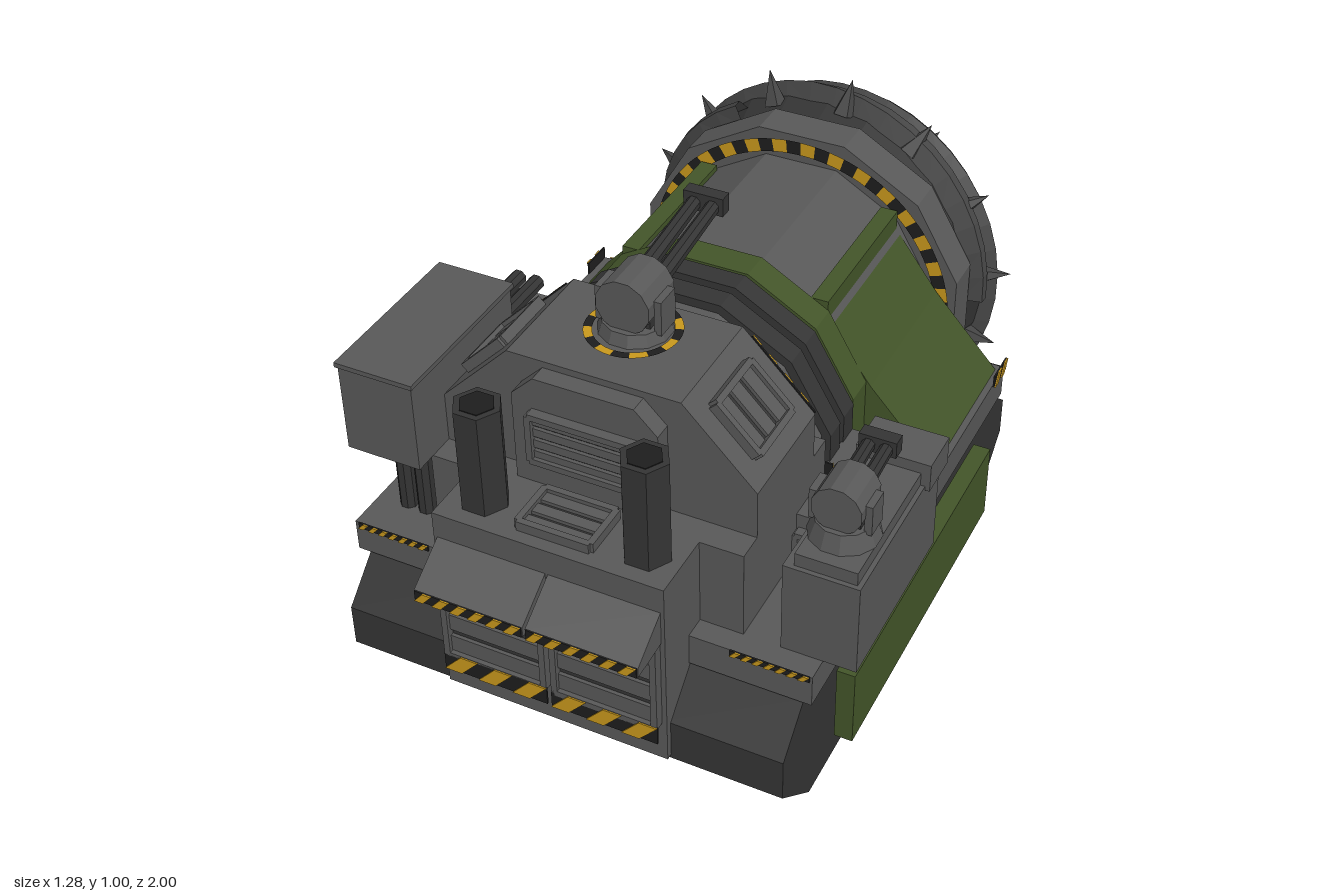
import * as THREE from 'three';

const CX = 0.04, CY = 0.475; // centre line of hull and drill
const mat = (name, color, side = THREE.FrontSide) => {
  const m = new THREE.MeshStandardMaterial({ color, side });
  m.name = name;
  return m;
};

export function createModel() {
  const root = new THREE.Group();
  root.name = 'drillVehicle';
  const grey = mat('hull grey', 0x585858), dark = mat('dark grey', 0x343434), black = mat('black', 0x1e1e1e);
  const green = mat('olive green', 0x435529), gold = mat('warning yellow', 0xc8981c);
  const steel = mat('drill steel', 0x454545, THREE.DoubleSide);

  const add = (name, geo, m, parent = root) => {
    const flat = geo.index ? geo.toNonIndexed() : geo;
    flat.computeVertexNormals();
    const mesh = new THREE.Mesh(flat, m);
    mesh.name = name;
    parent.add(mesh);
    return mesh;
  };
  // box from its limits
  const box = (name, m, x0, x1, y0, y1, z0, z1, parent) => {
    const g = new THREE.BoxGeometry(x1 - x0, y1 - y0, z1 - z0);
    g.translate((x0 + x1) / 2, (y0 + y1) / 2, (z0 + z1) / 2);
    return add(name, g, m, parent);
  };
  // cylinder or cone between two points
  const rod = (name, m, a, b, r0, r1, n, parent) => {
    const p = new THREE.Vector3(...a), q = new THREE.Vector3(...b), d = q.clone().sub(p);
    const g = new THREE.CylinderGeometry(r1, r0, d.length(), n);
    g.rotateY(Math.PI / n);
    g.applyQuaternion(new THREE.Quaternion().setFromUnitVectors(new THREE.Vector3(0, 1, 0), d.normalize()));
    g.translate(...p.add(q).multiplyScalar(0.5).toArray());
    return add(name, g, m, parent);
  };
  const polygon = pts => new THREE.Shape(pts.map(p => new THREE.Vector2(...p)));
  // outline in x,y pushed along z
  const prismZ = (name, m, pts, z0, z1, parent) => add(name,
    new THREE.ExtrudeGeometry(polygon(pts), { depth: z1 - z0, bevelEnabled: false }).translate(0, 0, z0), m, parent);
  // outline in z,y pushed along x
  const prismX = (name, m, pts, x0, x1, parent) => add(name,
    new THREE.ExtrudeGeometry(polygon(pts), { depth: x1 - x0, bevelEnabled: false })
      .rotateY(-Math.PI / 2).translate(x1, 0, 0), m, parent);
  const ring = (name, m, r, z0, z1, n = 12) => rod(name, m, [CX, CY, z1], [CX, CY, z0], r, r, n);
  const place = (name, x, y, z, parent = root) => {
    const g = new THREE.Group();
    g.name = name;
    g.position.set(x, y, z);
    parent.add(g);
    return g;
  };
  // striped warning plate facing +z
  const hazard = (x, y, z, w, h, parent) => {
    const g = place('warningStripe', x, y, z, parent);
    box('stripeBase', black, -w / 2, w / 2, -h / 2, h / 2, 0, 0.004, g);
    const n = Math.max(2, Math.round(w / (h * 1.7))), s = w / n;
    for (let i = 0; i < n; i++) {
      const a = -w / 2 + i * s;
      prismZ('stripe', gold, [[a, -h / 2], [a + s * 0.5, -h / 2], [a + s, h / 2], [a + s * 0.5, h / 2]], 0.004, 0.007, g);
    }
    return g;
  };
  // framed slatted panel facing +z
  const louvre = (name, x, y, z, w, h, n, parent) => {
    const g = place(name, x, y, z, parent), f = 0.014;
    box('panelBack', dark, -w / 2, w / 2, -h / 2, h / 2, 0, 0.005, g);
    for (const s of [-1, 1]) {
      box('frameSide', grey, s * w / 2 - f / 2, s * w / 2 + f / 2, -h / 2, h / 2, 0, 0.022, g);
      box('frameEdge', grey, -w / 2, w / 2, s * h / 2 - f / 2, s * h / 2 + f / 2, 0, 0.022, g);
    }
    const p = h / n;
    for (let i = 0; i < n; i++) box('slat', grey, -w / 2, w / 2, -h / 2 + (i + 0.15) * p, -h / 2 + (i + 0.85) * p, 0, 0.013, g);
    return g;
  };

  // tracks and side armour
  const track = [[0.75, 0], [0.885, 0.12], [0.885, 0.22], [0.79, 0.31], [-0.27, 0.31], [-0.38, 0.22], [-0.38, 0.125], [-0.235, 0]];
  for (const s of [-1, 1]) {
    prismX('track', dark, track, CX + s * 0.37 - 0.13, CX + s * 0.37 + 0.13);
    box('sideArmour', green, CX + s * 0.54 - 0.02, CX + s * 0.54 + 0.02, 0.105, 0.29, -0.11, 0.675);
    box('armourMount', dark, CX + s * 0.51 - 0.02, CX + s * 0.51 + 0.02, 0.17, 0.25, 0.1, 0.45);
  }

  // lower hull and deck
  box('belly', dark, -0.21, 0.29, 0.09, 0.32, -0.3, 0.78);
  box('deck', grey, -0.485, 0.56, 0.31, 0.385, -0.29, 0.8);
  box('frontBlock', grey, -0.215, 0.295, 0.13, 0.59, 0.4, 0.9);
  box('middleBlock', grey, -0.31, 0.39, 0.385, 0.59, 0.36, 0.75);

  // front doors with awnings
  for (const s of [-1, 1]) {
    const x = CX + s * 0.125;
    louvre('frontDoor', x, 0.345, 0.9, 0.225, 0.23, 4);
    prismX('awning', grey, [[0.9, 0.53], [0.9, 0.45], [0.995, 0.445], [0.995, 0.468]], x - 0.122, x + 0.122);
    hazard(x, 0.457, 0.994, 0.24, 0.024);
    hazard(x, 0.213, 0.918, 0.24, 0.045);
    // exhaust stacks
    rod('exhaustStack', dark, [CX + s * 0.18, 0.58, 0.82], [CX + s * 0.18, 0.83, 0.82], 0.052, 0.052, 6);
    rod('exhaustMouth', black, [CX + s * 0.18, 0.825, 0.82], [CX + s * 0.18, 0.832, 0.82], 0.038, 0.038, 6);
  }
  louvre('topVent', CX, 0.59, 0.81, 0.16, 0.11, 3).rotation.x = -Math.PI / 2;

  // cabin
  prismZ('cabin', grey, [[-0.31, 0.58], [0.39, 0.58], [0.39, 0.7], [0.23, 0.865], [-0.15, 0.865], [-0.31, 0.7]], 0.42, 0.69);
  prismZ('cabinBrow', grey, [[-0.12, 0.59], [0.2, 0.59], [0.2, 0.8], [0.15, 0.85], [-0.07, 0.85], [-0.12, 0.8]], 0.68, 0.73);
  louvre('cabinVent', CX, 0.715, 0.73, 0.23, 0.11, 4);
  for (const s of [-1, 1]) {
    const slope = place('cabinWindowMount', CX + s * 0.27, 0.783, 0.56);
    slope.rotation.z = -s * 0.8;
    louvre('cabinWindow', 0, 0, 0, 0.13, 0.15, 3, slope).rotation.x = -Math.PI / 2;
    const strip = hazard(CX + s * 0.27, 0.765, 0.42, 0.2, 0.03);
    strip.rotation.set(0, Math.PI, s * 0.8);
    const side = hazard(CX + s * 0.352, 0.47, 0.36, 0.12, 0.03);
    side.rotation.set(0, Math.PI, Math.PI / 2);
  }

  // drum body with ribs and bands
  ring('drumBody', grey, 0.336, -0.3, 0.42);
  for (const z of [0.2, 0.27]) ring('drumRib', dark, 0.357, z, z + 0.05);
  ring('greenBand', green, 0.35, 0.115, 0.185);
  ring('drillCollar', grey, 0.405, -0.38, -0.29);
  // warning arc on the collar
  for (let i = 0; i < 36; i++) {
    const a = -0.15 + i * (Math.PI + 0.3) / 36;
    const g = new THREE.RingGeometry(0.345, 0.378, 1, 1, a, (Math.PI + 0.3) / 36).translate(CX, CY, -0.285);
    add('collarStripe', g, i % 2 ? gold : black);
  }
  // sloping side plates
  for (const s of [-1, 1]) {
    const pts = [[0.22, 0.73], [0.35, 0.555], [0.505, 0.385], [0.2, 0.385]].map(([x, y]) => [CX + s * x, y]);
    prismZ('sidePlate', green, pts, -0.275, 0.115);
    box('sidePlateRim', green, CX + s * 0.225 - 0.02, CX + s * 0.225 + 0.02, 0.7, 0.745, -0.275, 0.115);
    const h = hazard(CX + s * 0.522, 0.4, -0.25, 0.08, 0.03);
    h.rotation.y = s * Math.PI / 2;
    const back = hazard(CX + s * 0.43, 0.37, -0.29, 0.16, 0.03);
    back.rotation.y = Math.PI;
  }

  // drill core
  const profile = [[-0.38, 0.385], [-0.46, 0.405], [-0.55, 0.365], [-0.62, 0.3], [-0.72, 0.205], [-0.8, 0.14], [-0.9, 0.07], [-1, 0]];
  const radiusAt = z => {
    const i = Math.max(1, profile.findIndex(p => p[0] <= z));
    const [z0, r0] = profile[i - 1], [z1, r1] = profile[i];
    return THREE.MathUtils.lerp(r0, r1, THREE.MathUtils.clamp((z - z0) / (z1 - z0), 0, 1));
  };
  const core = [new THREE.Vector2(0, 0.38), ...profile.map(([z, r]) => new THREE.Vector2(r, -z))];
  add('drillCore', new THREE.LatheGeometry(core, 24).rotateX(-Math.PI / 2).translate(CX, CY, 0), dark);

  // spiral cutting ridges
  const STARTS = 3, STEPS = 90;
  for (let s = 0; s < STARTS; s++) {
    const pos = [], idx = [];
    for (let i = 0; i <= STEPS; i++) {
      const t = i / STEPS, z = -0.4 - 0.575 * t, a = (t * 2.2 + s / STARTS) * Math.PI * 2;
      const w = 0.034 - 0.016 * t, h = 0.036 - 0.02 * t;
      for (const [dz, dr] of [[w, -0.01], [w * 0.3, h], [-w * 0.35, h * 0.9], [-w, -0.01]]) {
        const zz = Math.max(-0.995, Math.min(-0.38, z + dz)), r = Math.max(0.002, radiusAt(zz) + dr);
        pos.push(CX + Math.cos(a) * r, CY + Math.sin(a) * r, zz);
      }
      if (i < STEPS) for (let k = 0; k < 3; k++) {
        const p = i * 4 + k;
        idx.push(p, p + 1, p + 5, p, p + 5, p + 4);
      }
    }
    const g = new THREE.BufferGeometry();
    g.setAttribute('position', new THREE.Float32BufferAttribute(pos, 3));
    g.setIndex(idx);
    add('drillRidge', g, steel);
  }
  // drill teeth in two rings, and the striped band
  for (const [z, n, r, len, w] of [[-0.43, 14, 0.39, 0.08, 0.028], [-0.73, 9, 0.2, 0.06, 0.02]]) {
    for (let i = 0; i < n; i++) {
      const a = (i + 0.25) / n * Math.PI * 2, c = Math.cos(a), d = Math.sin(a);
      rod('drillTooth', steel, [CX + c * r, CY + d * r, z], [CX + c * (r + len), CY + d * (r + len), z - 0.025], w, 0, 5);
    }
  }
  for (let i = 0; i < 24; i++) {
    const g = new THREE.CylinderGeometry(0.232, 0.215, 0.025, 1, 1, true, i * Math.PI / 12, Math.PI / 12);
    add('drillStripe', g.rotateX(Math.PI / 2).translate(CX, CY, -0.72), i % 2 ? gold : black);
  }

  // gun turret, aimed toward the drill
  const turret = (x, y, z, r, len, rise) => {
    const g = place('gunTurret', x, y, z);
    rod('turretBase', grey, [0, -r * 1.6, 0], [0, -r * 0.85, 0], r * 1.4, r * 1.15, 12, g);
    box('turretYoke', dark, -r * 0.8, r * 0.8, -r, 0, -r * 0.6, r * 0.5, g);
    rod('turretHead', grey, [0, 0, r * 0.9], [0, 0, -r * 0.9], r, r, 12, g);
    for (const s of [-1, 1]) {
      rod('gunBarrel', dark, [s * r * 0.35, 0, -r * 0.8], [s * r * 0.35, rise, -r - len], r * 0.3, r * 0.26, 8, g);
      box('turretCheek', grey, s * r * 1.08 - 0.008, s * r * 1.08 + 0.008, -r, r * 0.3, -r * 0.5, r * 0.5, g);
    }
    box('barrelClamp', dark, -r * 0.75, r * 0.75, rise - r * 0.35, rise + r * 0.35, -r - len, -r - len + 0.03, g);
  };
  turret(CX, 0.943, 0.51, 0.06, 0.27, 0.035);
  for (let i = 0; i < 16; i++) {
    const g = new THREE.RingGeometry(0.082, 0.1, 1, 1, i * Math.PI / 8, Math.PI / 8);
    add('turretStripe', g.rotateX(-Math.PI / 2).translate(CX, 0.868, 0.52), i % 2 ? gold : black);
  }

  // left-hand gun platform
  box('gunPlinth', grey, 0.47, 0.63, 0.385, 0.6, 0.34, 0.75);
  box('gunPlinthTop', grey, 0.48, 0.64, 0.59, 0.655, 0.32, 0.42);
  box('gunPlinthPlate', grey, 0.49, 0.62, 0.595, 0.63, 0.42, 0.74);
  turret(0.55, 0.715, 0.64, 0.053, 0.13, 0.01);
  box('deckVent', grey, 0.38, 0.48, 0.385, 0.5, 0.2, 0.5);
  louvre('deckVentGrille', 0.43, 0.43, 0.5, 0.07, 0.06, 3);

  // right-hand raised locker on twin posts
  box('locker', grey, -0.475, -0.305, 0.59, 0.8, 0.42, 0.8);
  box('lockerLid', grey, -0.48, -0.3, 0.795, 0.806, 0.415, 0.805);
  for (const x of [-0.415, -0.37]) {
    rod('lockerPost', dark, [x, 0.38, 0.7], [x, 0.6, 0.7], 0.02, 0.02, 8);
    rod('lockerPipe', dark, [x, 0.66, 0.43], [x, 0.66, 0.21], 0.018, 0.018, 8);
  }
  box('postCap', dark, -0.435, -0.35, 0.555, 0.59, 0.67, 0.73);
  box('equipmentBox', grey, -0.47, -0.305, 0.385, 0.62, 0.2, 0.56);
  const boxStripe = hazard(-0.388, 0.59, 0.2, 0.16, 0.03);
  boxStripe.rotation.y = Math.PI;
  for (const x of [-0.39, 0.47]) hazard(x, 0.38, 0.8, 0.17, 0.014);
  const edge = hazard(-0.485, 0.37, 0.56, 0.14, 0.025);
  edge.rotation.y = -Math.PI / 2;

  // searchlight on its bracket
  const lamp = place('searchlight', -0.565, 0.56, 0.29);
  rod('lampBody', grey, [0, 0, 0.06], [0, 0, -0.06], 0.065, 0.065, 12, lamp);
  rod('lampFace', dark, [0, 0, -0.06], [0, 0, -0.066], 0.05, 0.05, 12, lamp);
  for (const s of [-1, 1]) box('lampBracket', grey, s * 0.072 - 0.005, s * 0.072 + 0.005, -0.07, 0.04, -0.02, 0.02, lamp);
  box('bracketBase', grey, -0.077, 0.1, -0.075, -0.063, -0.03, 0.03, lamp);
  box('bracketArm', dark, 0, 0.1, -0.1, -0.073, -0.02, 0.02, lamp);
  return root;
}
